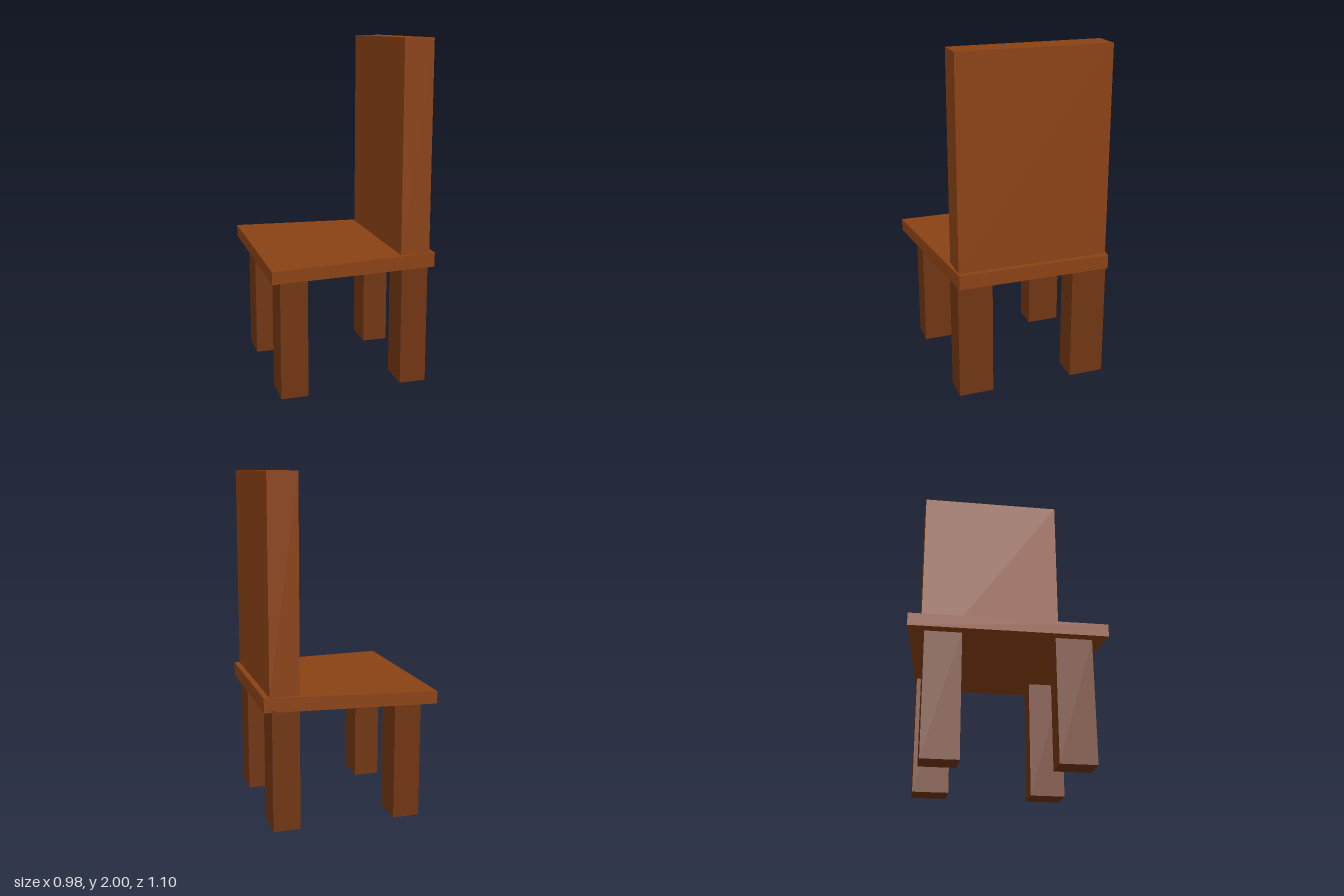
import * as THREE from 'three';

const wood = new THREE.MeshStandardMaterial({ color: 0x8b4214, flatShading: true });
const darkWood = new THREE.MeshStandardMaterial({ color: 0x713511, flatShading: true });

// Box given by its lower and upper limits on each axis
function block(name, [x0, x1], [y0, y1], [z0, z1], material) {
  const mesh = new THREE.Mesh(new THREE.BoxGeometry(x1 - x0, y1 - y0, z1 - z0), material);
  mesh.position.set((x0 + x1) / 2, (y0 + y1) / 2, (z0 + z1) / 2);
  mesh.name = name;
  return mesh;
}

// Seat slab: wider and slightly thinner toward the sitting edge (-x)
function makeSeat() {
  const geometry = new THREE.BoxGeometry(0.98, 1, 1);
  const p = geometry.attributes.position;
  for (let i = 0; i < p.count; i++) {
    const open = p.getX(i) < 0;
    p.setY(i, 0.74 + p.getY(i) * (open ? 0.072 : 0.084));
    p.setZ(i, p.getZ(i) * (open ? 1.1 : 0.896));
  }
  geometry.computeVertexNormals();
  const seat = new THREE.Mesh(geometry, wood);
  seat.name = 'seat';
  return seat;
}

export function createModel() {
  const chair = new THREE.Group();
  chair.name = 'chair';
  chair.add(makeSeat());
  chair.add(block('backrest', [0.285, 0.457], [0.77, 2], [-0.443, 0.443], wood));

  // Four square legs, one of them set a little further out
  const legY = [0, 0.71];
  const frontX = [-0.43, -0.272];
  const rearX = [0.289, 0.447];
  chair.add(
    block('frontLegA', frontX, legY, [0.265, 0.47], darkWood),
    block('frontLegB', frontX, legY, [-0.455, -0.25], darkWood),
    block('rearLegA', rearX, legY, [0.243, 0.447], darkWood),
    block('rearLegB', rearX, legY, [-0.455, -0.245], darkWood),
  );
  return chair;
}
